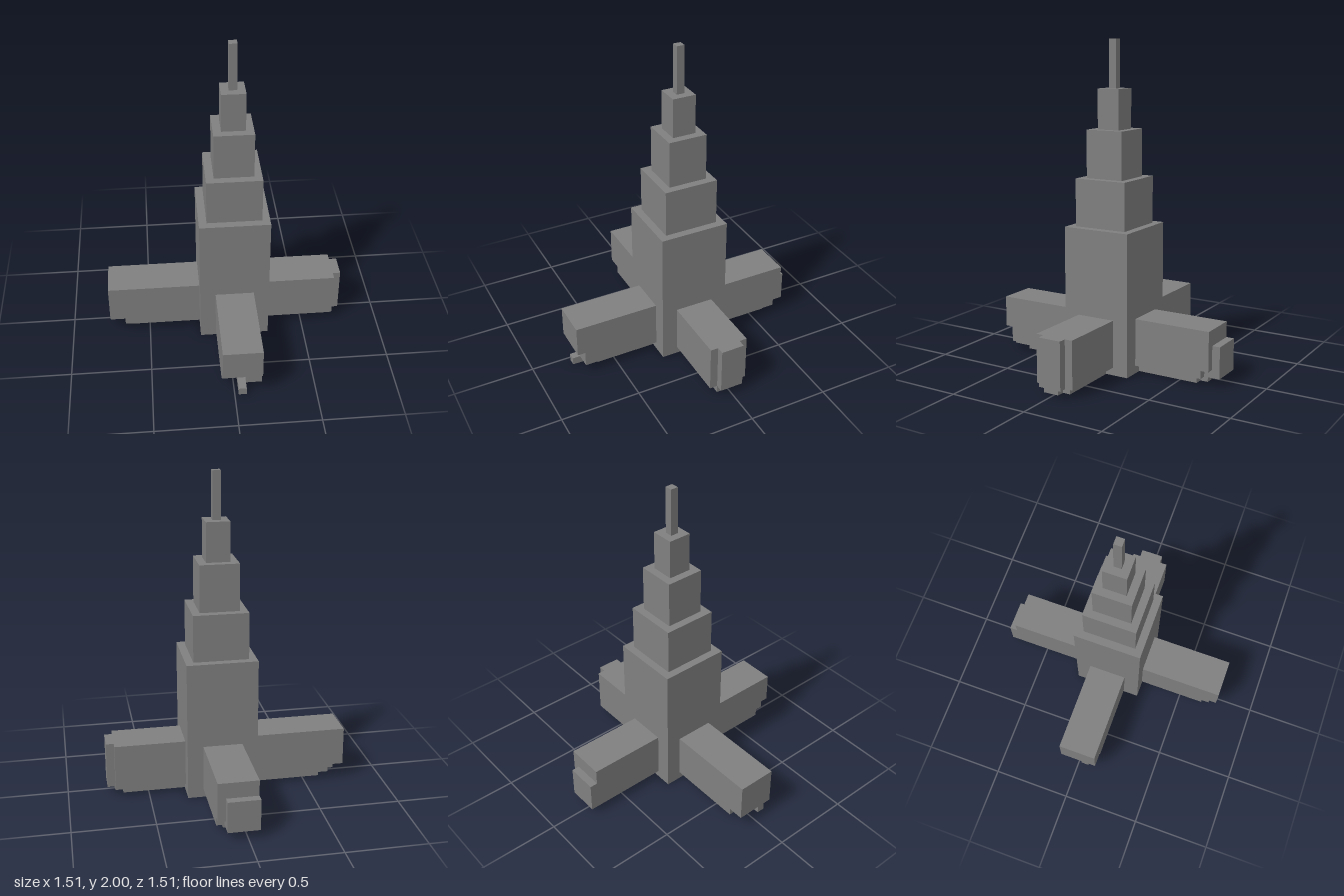
import * as THREE from 'three';

// One grid cell; the tower is 41 cells tall.
const U = 2 / 41;

export function createModel() {
  const model = new THREE.Group();
  model.name = 'steppedTower';
  const stone = new THREE.MeshStandardMaterial({ color: 0x808080 });
  stone.name = 'grey stone';

  // Box between two corners given in grid cells.
  function block(parent, name, x0, x1, y0, y1, z0, z1) {
    const geo = new THREE.BoxGeometry((x1 - x0) * U, (y1 - y0) * U, (z1 - z0) * U);
    const mesh = new THREE.Mesh(geo, stone);
    mesh.position.set((x0 + x1) / 2 * U, (y0 + y1) / 2 * U, (z0 + z1) / 2 * U);
    mesh.name = name;
    parent.add(mesh);
  }

  function group(name) {
    const g = new THREE.Group();
    g.name = name;
    model.add(g);
    return g;
  }

  // Tower: square tiers narrowing to a spire, centred on x = 1
  const tower = group('tower');
  const tiers = [[9, 0, 18], [7, 18, 24], [5, 24, 30], [3, 30, 35], [1, 35, 41]];
  tiers.forEach(([w, y0, y1], i) => {
    const name = i === tiers.length - 1 ? 'spire' : 'tier' + (i + 1);
    block(tower, name, 1 - w / 2, 1 + w / 2, y0, y1, -w / 2, w / 2);
  });

  // Front wing: overhanging end and a small bar along the ground
  const front = group('frontWing');
  block(front, 'hall', -1.5, 3.5, 3, 7, 4.5, 15.5);
  block(front, 'lowerHall', -1.5, 3.5, 2, 3, 4.5, 14.5);
  block(front, 'sill', -1.5, 3.5, 1, 2, 4.5, 13.5);
  block(front, 'sillEnd', 1.5, 3.5, 1, 2, 13.5, 14.5);
  block(front, 'foot', -0.5, 2.5, 0, 1, 4.5, 12.5);
  block(front, 'footBar', 0.5, 1.5, 0, 1, 12.5, 15.5);

  // Back wing: low porch on the end, notch under one corner
  const back = group('backWing');
  block(back, 'hall', -1.5, 3.5, 2, 7, -14.5, -4.5);
  block(back, 'sill', -1.5, 3.5, 1, 2, -13.5, -4.5);
  block(back, 'sillEnd', -1.5, 2.5, 1, 2, -14.5, -13.5);
  block(back, 'porch', -1.5, 2.5, 1, 5, -15.5, -14.5);
  block(back, 'foot', -0.5, 2.5, 0, 1, -12.5, -4.5);
  block(back, 'footBar', 0.5, 1.5, 0, 1, -13.5, -12.5);

  // Left wing: full-height bay on the end
  const left = group('leftWing');
  block(left, 'hall', 5.5, 14.5, 1, 7, -2.5, 2.5);
  block(left, 'bay', 14.5, 15.5, 1, 7, -1.5, 1.5);
  block(left, 'foot', 5.5, 13.5, 0, 1, -1.5, 1.5);
  block(left, 'footBar', 13.5, 14.5, 0, 1, -0.5, 1.5);

  // Right wing: overhanging end with teeth beneath
  const right = group('rightWing');
  block(right, 'hall', -15.5, -3.5, 2, 7, -2.5, 2.5);
  block(right, 'sill', -13.5, -3.5, 1, 2, -2.5, 2.5);
  block(right, 'longTooth', -15.5, -13.5, 1, 2, 0.5, 1.5);
  block(right, 'shortTooth', -14.5, -13.5, 1, 2, -1.5, -0.5);
  block(right, 'foot', -12.5, -3.5, 0, 1, -1.5, 1.5);
  block(right, 'footBar', -13.5, -12.5, 0, 1, -0.5, 0.5);

  return model;
}
